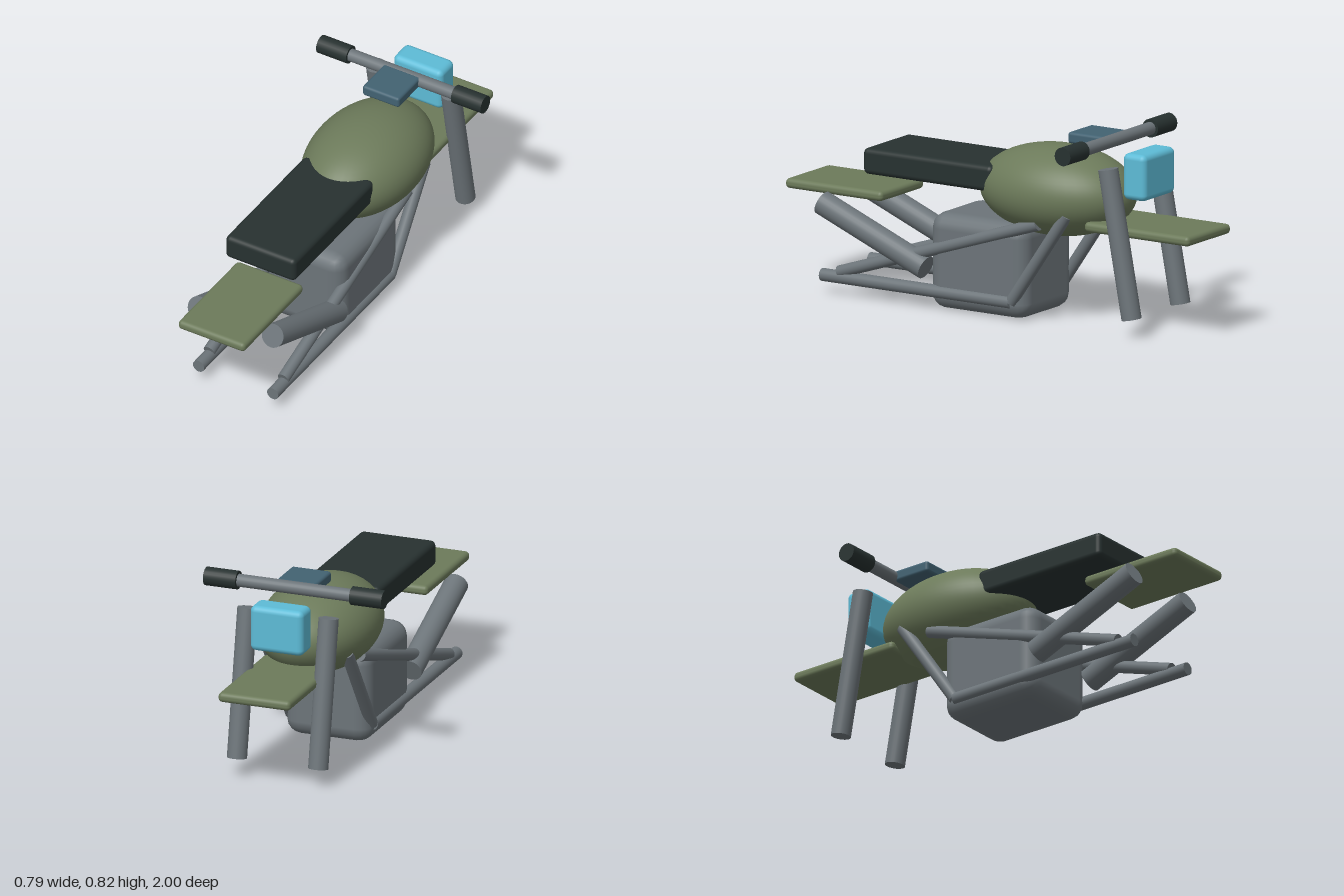
import * as THREE from 'three';
import { RoundedBoxGeometry } from 'three/addons/geometries/RoundedBoxGeometry.js';

export function createModel() {
  const model = new THREE.Group();
  const paint = (name, color) => {
    const m = new THREE.MeshStandardMaterial({ color });
    m.name = name;
    return m;
  };
  const steel = paint('steel grey', 0x6c7479);
  const olive = paint('olive paint', 0x6c7a5a);
  const black = paint('black rubber', 0x273130);
  const glass = paint('sky blue lamp', 0x5dbbd6);
  const slate = paint('slate blue panel', 0x426272);

  const add = (name, geometry, material) => {
    const mesh = new THREE.Mesh(geometry, material);
    mesh.name = name;
    model.add(mesh);
    return mesh;
  };

  // Rounded block given by its half width and its y and z limits
  const block = (name, material, halfX, [y0, y1], [z0, z1], radius, segments = 3) =>
    add(name, new RoundedBoxGeometry(2 * halfX, y1 - y0, z1 - z0, segments, radius), material)
      .position.set(0, (y0 + y1) / 2, (z0 + z1) / 2);

  // Round bar between two points
  const bar = (name, material, radius, from, to) => {
    const a = new THREE.Vector3(...from), b = new THREE.Vector3(...to);
    const mesh = add(name, new THREE.CylinderGeometry(radius, radius, a.distanceTo(b), 24), material);
    mesh.position.copy(a).add(b).multiplyScalar(0.5);
    mesh.quaternion.setFromUnitVectors(new THREE.Vector3(0, 1, 0), b.sub(a).normalize());
  };

  // Body
  block('engine', steel, 0.19, [0, 0.405], [-0.205, 0.275], 0.065, 2);
  block('seat', black, 0.168, [0.52, 0.63], [-0.03, 0.61], 0.022);
  block('rearFender', olive, 0.16, [0.41, 0.452], [0.52, 1], 0.018);
  block('frontFender', olive, 0.16, [0.41, 0.452], [-1, -0.48], 0.018);
  const tank = add('fuelTank', new THREE.SphereGeometry(1, 48, 32), olive);
  tank.scale.set(0.241, 0.19, 0.357);
  tank.position.set(0, 0.535, -0.25);

  // Head
  block('headlight', glass, 0.118, [0.56, 0.755], [-0.755, -0.642], 0.025);
  block('dashboard', slate, 0.088, [0.755, 0.803], [-0.53, -0.353], 0.012);
  bar('handlebar', steel, 0.027, [-0.3, 0.778, -0.535], [0.3, 0.778, -0.535]);

  // Mirrored bars
  for (const [side, s] of [['left', 1], ['right', -1]]) {
    const pair = (name, material, radius, x, [y0, z0], [y1, z1]) =>
      bar(side + name, material, radius, [s * x, y0, z0], [s * x, y1, z1]);
    bar(side + 'Grip', black, 0.039, [s * 0.252, 0.778, -0.535], [s * 0.395, 0.778, -0.535]);
    pair('Fork', steel, 0.042, 0.18, [0.697, -0.617], [0.078, -0.733]);
    pair('LowerRail', steel, 0.027, 0.178, [0.075, 0.8], [0.075, -0.135]);
    pair('UpperRail', steel, 0.026, 0.178, [0.097, 0.715], [0.42, -0.27]);
    pair('DownTube', steel, 0.026, 0.178, [0.075, -0.135], [0.475, -0.41]);
    pair('Exhaust', steel, 0.051, 0.178, [0.378, 0.8], [0.168, 0.288]);
  }
  return model;
}
